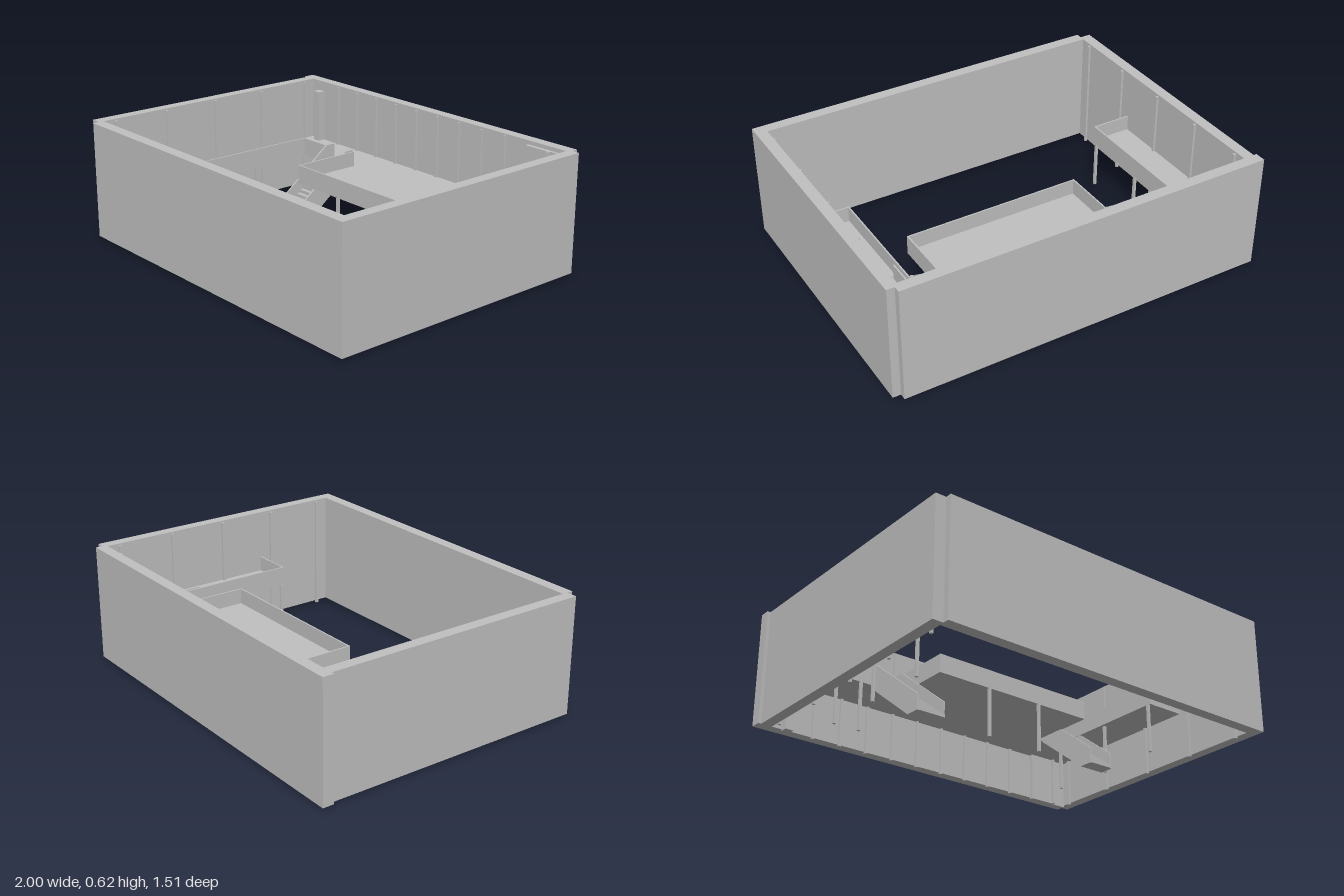
import * as THREE from 'three';

export function createModel() {
  const model = new THREE.Group();
  model.name = 'galleryRoom';
  const grey = new THREE.MeshStandardMaterial({ color: 0xc0c0c0 });
  grey.name = 'plainGrey';

  // Box given by its minimum and maximum corners
  function box(name, x0, x1, y0, y1, z0, z1) {
    const m = new THREE.Mesh(new THREE.BoxGeometry(x1 - x0, y1 - y0, z1 - z0), grey);
    m.position.set((x0 + x1) / 2, (y0 + y1) / 2, (z0 + z1) / 2);
    m.name = name;
    model.add(m);
  }

  // Outline in z and y, extruded along x
  function sidePlate(name, points, x0, x1) {
    const shape = new THREE.Shape(points.map(([z, y]) => new THREE.Vector2(-z, y)));
    const geo = new THREE.ExtrudeGeometry(shape, { depth: x1 - x0, bevelEnabled: false });
    geo.rotateY(Math.PI / 2);
    const m = new THREE.Mesh(geo, grey);
    m.position.x = x0;
    m.name = name;
    model.add(m);
  }

  // Outer walls, overlapping in turn at the corners
  const base = 0.01, top = 0.62;
  box('backWall', -1, 0.957, base, top, -0.755, -0.697);
  box('frontWall', -0.927, 0.94, base, top, 0.695, 0.755);
  box('rightWall', -0.983, -0.925, base, top, -0.697, 0.722);
  box('leftWall', 0.94, 0.998, base, top, -0.72, 0.755);

  // Wall studs
  for (let i = 0; i < 9; i++) {
    const x = -0.7 + i * 0.157;
    box('backStud', x - 0.006, x + 0.006, 0, 0.61, -0.698, -0.685);
  }
  for (let i = 0; i < 5; i++) {
    const z = -0.63 + i * 0.314;
    box('rightStud', -0.926, -0.913, 0, 0.61, z - 0.007, z + 0.007);
    box('leftStud', 0.928, 0.941, 0, 0.61, z - 0.007, z + 0.007);
  }

  // Corner column and boxed-in wall panels
  box('cornerColumn', -0.872, -0.828, 0, 0.565, -0.697, -0.655);
  box('wallPanel', 0.705, 0.857, 0, 0.6, -0.698, -0.675);
  box('wallPanelSide', 0.857, 0.94, 0, 0.6, -0.698, -0.682);
  box('wallPanelStud', 0.845, 0.857, 0, 0.6, -0.676, -0.66);

  // Gallery floor with two wings and a central landing
  const low = 0.26, floorTop = 0.28, rail = 0.36;
  const outline = [
    [-0.925, -0.697], [0.94, -0.697], [0.94, 0.25], [0.73, 0.25], [0.73, -0.435],
    [0.595, -0.435], [0.595, -0.115], [-0.34, -0.115], [-0.34, -0.435], [-0.5, -0.435],
    [-0.5, -0.455], [-0.715, -0.455], [-0.715, 0.25], [-0.925, 0.25],
  ];
  const floorGeo = new THREE.ExtrudeGeometry(
    new THREE.Shape(outline.map(([x, z]) => new THREE.Vector2(x, -z))),
    { depth: floorTop - low, bevelEnabled: false });
  floorGeo.rotateX(-Math.PI / 2);
  const floor = new THREE.Mesh(floorGeo, grey);
  floor.position.y = low;
  floor.name = 'galleryFloor';
  model.add(floor);

  // Parapets along the floor edges
  const t = 0.008;
  box('landingParapet', -0.345, 0.597, low, rail, -0.119, -0.111);
  box('landingSideParapet', -0.345, -0.345 + t, low, rail, -0.49, -0.115);
  box('landingSideParapet', 0.589, 0.589 + t, low, rail, -0.49, -0.115);
  box('rightWingParapet', -0.719, -0.719 + t, low, rail, -0.459, 0.25);
  box('rightWingEndParapet', -0.925, -0.711, low, rail, 0.243, 0.251);
  box('rightBridgeParapet', -0.719, -0.5, low, rail, -0.459, -0.451);
  box('leftWingParapet', 0.726, 0.726 + t, low, rail, -0.435, 0.25);
  box('leftWingEndParapet', 0.726, 0.94, low, rail, 0.243, 0.251);
  box('leftStairheadParapet', 0.746, 0.746 + t, floorTop, rail, -0.49, -0.275);

  // Stairs with a stepped top and a sloping underside
  const steps = 16, zTop = -0.435, zFoot = -0.06;
  function stair(x0, x1) {
    const pts = [[-0.14, 0], [zFoot, 0]];
    for (let i = 0; i < steps; i++) {
      const z = zFoot + (zTop - zFoot) * i / steps;
      const zNext = zFoot + (zTop - zFoot) * (i + 1) / steps;
      const y = floorTop * (i + 1) / steps;
      pts.push([z, y], [zNext, y]);
    }
    pts.push([zTop, 0.225]);
    sidePlate('stairFlight', pts, x0, x1);
  }
  // Solid sloping balustrade beside each flight
  function balustrade(x) {
    sidePlate('stairBalustrade', [
      [-0.14, 0], [-0.065, 0], [-0.065, 0.085], [-0.435, rail + 0.01], [-0.49, rail + 0.01],
      [-0.49, floorTop], [-0.435, 0.225],
    ], x - 0.004, x + 0.004);
  }
  stair(-0.5, -0.347);
  stair(0.597, 0.728);
  for (const x of [-0.504, -0.349, 0.593, 0.732]) balustrade(x);

  // Slim posts holding up the gallery
  const posts = [
    [-0.72, 0.235], [-0.72, -0.12], [-0.72, -0.455], [-0.58, -0.455],
    [0.727, 0.235], [0.748, -0.12], [0.727, -0.455], [-0.035, -0.115], [0.285, -0.115],
  ];
  for (const [x, z] of posts) box('galleryPost', x - 0.007, x + 0.007, 0, low, z - 0.007, z + 0.007);

  return model;
}
